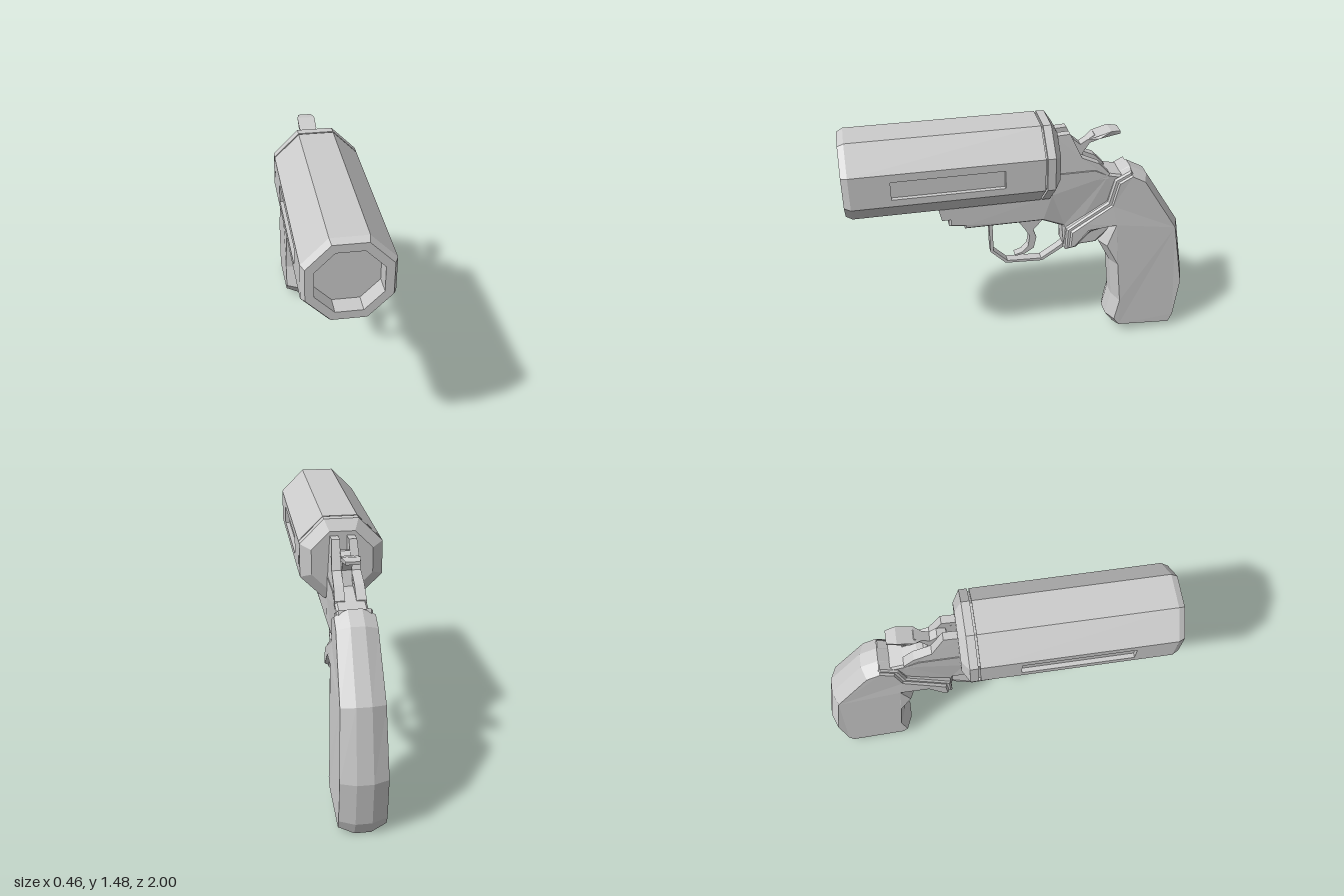
import * as THREE from 'three';

const mat = new THREE.MeshStandardMaterial({ color: 0xcccccc, flatShading: true });
const AXIS_Y = 1.245; // height of the barrel axis
const clamp01 = (t) => Math.min(1, Math.max(0, t));
const toPoints = (list) => list.map(([z, y]) => new THREE.Vector2(z, y));

// Side profile in (z, y), extruded symmetrically along x, with an optional chamfer.
function plate(profile, half, { bevel = 0, bevelX = bevel, hole } = {}) {
  const shape = new THREE.Shape(toPoints(profile));
  if (hole) shape.holes.push(new THREE.Path(toPoints(hole)));
  const depth = 2 * (half - bevelX);
  const geo = new THREE.ExtrudeGeometry(shape, {
    depth, bevelEnabled: bevel > 0, bevelSegments: 1,
    bevelSize: bevel, bevelOffset: -bevel, bevelThickness: bevelX,
  });
  return geo.translate(0, 0, -depth / 2).rotateY(-Math.PI / 2);
}

// Scales the width of a plate by a rule of height and depth.
function widen(geo, rule) {
  const p = geo.attributes.position;
  for (let i = 0; i < p.count; i++) p.setX(i, p.getX(i) * rule(p.getY(i), p.getZ(i)));
  geo.computeVertexNormals();
  return geo;
}

// Eight-sided turning around the barrel axis; profile is [apothem, z], back to front.
function octagon(profile, sides = 8, start = Math.PI / 8) {
  const pts = profile.map(([r, z]) => new THREE.Vector2(r / Math.cos(Math.PI / 8), z));
  const geo = new THREE.LatheGeometry(pts, sides, start, sides * Math.PI / 4);
  return geo.rotateX(Math.PI / 2).translate(0, AXIS_Y, 0);
}

const rect = (z0, z1, y0, y1) => [[z0, y0], [z1, y0], [z1, y1], [z0, y1]];

export function createModel() {
  const model = new THREE.Group();
  const add = (name, geo, parent = model) => {
    const mesh = new THREE.Mesh(geo, mat);
    mesh.name = name;
    parent.add(mesh);
    return mesh;
  };

  // Barrel: chamfered muzzle with a shallow bore, upper and lower walls, slotted sides
  const barrel = new THREE.Group();
  barrel.name = 'barrel';
  model.add(barrel);
  add('muzzle', octagon([[0.23, 0.965], [0.212, 1], [0.168, 1], [0.168, 0.9], [0, 0.9]]), barrel);
  add('barrelBack', octagon([[0, -0.08], [0.23, -0.08]]), barrel);
  const wall = [[0.23, -0.08], [0.23, 0.965]];
  add('barrelBottom', octagon(wall, 3, -Math.PI * 3 / 8), barrel);
  add('barrelTop', octagon(wall, 3, Math.PI * 5 / 8), barrel);
  const h = 0.23 * Math.tan(Math.PI / 8);
  for (const s of [1, -1]) {
    const side = plate(rect(-0.08, 0.965, AXIS_Y - h, AXIS_Y + h), 0.0125,
      { hole: rect(0.14, 0.75, 1.19, 1.295) });
    add('slottedSide', side.translate(s * 0.2175, 0, 0), barrel);
    const floor = new THREE.BoxGeometry(0.01, 0.125, 0.63);
    add('slotFloor', floor.translate(s * 0.2, 1.2425, 0.445), barrel);
  }

  // Breech block behind a thin gap
  add('breechCore', octagon([[0.215, -0.1], [0.215, -0.07]]));
  add('breech', octagon([[0, -0.175], [0.17, -0.175], [0.23, -0.135], [0.23, -0.09], [0, -0.09]]));

  // Frame, narrowing below the trigger line
  const frame = plate([
    [0.44, 1.04], [0.44, 0.89], [0.355, 0.88], [0.35, 0.86], [-0.1, 0.86], [-0.22, 0.8],
    [-0.235, 0.65], [-0.43, 0.66], [-0.57, 0.8], [-0.61, 1.1], [-0.48, 1.13],
    [-0.4, 1.17], [-0.14, 1.17], [-0.14, 1.04],
  ], 0.085, { bevel: 0.012 });
  add('frame', widen(frame, (y) => 1 - 0.3 * clamp01((0.88 - y) / 0.08)));
  add('frontLug', plate([[0.5, 1.03], [0.48, 0.94], [0.41, 0.94], [0.375, 1.03]], 0.09));

  // Frame ears on both sides of the hammer channel, leaning in toward the top
  for (const s of [1, -1]) {
    const ear = plate([
      [-0.16, 1.1], [-0.48, 1.1], [-0.48, 1.135], [-0.42, 1.2], [-0.32, 1.245],
      [-0.25, 1.395], [-0.16, 1.39],
    ], 0.0275).translate(s * 0.0575, 0, 0);
    add('frameEar', widen(ear, (y) => 1 - 0.2 * clamp01((y - 1.15) / 0.25)));
  }

  // Hammer with a wider thumb spur
  add('hammer', plate([
    [-0.22, 1.15], [-0.37, 1.15], [-0.335, 1.25], [-0.375, 1.31], [-0.425, 1.34],
    [-0.4, 1.355], [-0.32, 1.305], [-0.28, 1.34], [-0.23, 1.33],
  ], 0.027));
  const spur = plate([
    [-0.375, 1.31], [-0.425, 1.34], [-0.545, 1.355], [-0.545, 1.372], [-0.49, 1.378], [-0.4, 1.352], [-0.36, 1.33],
  ], 0.05);
  add('hammerSpur', widen(spur, (y, z) => (z > -0.4 ? 0.55 : z < -0.53 ? 0.75 : 1)));

  // Trigger guard: a bent band
  add('triggerGuard', plate([
    [0.235, 0.865], [0.205, 0.83], [0.2, 0.65], [0.11, 0.56], [-0.11, 0.548], [-0.25, 0.635],
    [-0.24, 0.665], [-0.225, 0.645], [-0.105, 0.565], [0.1, 0.575], [0.182, 0.655],
    [0.185, 0.83], [0.15, 0.865],
  ], 0.027));

  // Curved trigger
  add('trigger', plate([
    [0.04, 0.87], [0.035, 0.84], [0, 0.79], [-0.035, 0.73], [-0.025, 0.66], [0.01, 0.622], [0.055, 0.608],
    [0.05, 0.6], [-0.005, 0.61], [-0.06, 0.645], [-0.075, 0.72], [-0.055, 0.77], [-0.115, 0.84], [-0.115, 0.87],
  ], 0.025));

  // Grip: heavy chamfers, notched behind the guard, wider toward the butt
  const grip = plate([
    [-0.615, 1.145], [-0.715, 1.09], [-0.93, 0.75], [-1, 0.34], [-0.97, 0.08], [-0.935, 0.0],
    [-0.57, 0.03], [-0.52, 0.1], [-0.55, 0.25], [-0.525, 0.51], [-0.45, 0.655], [-0.5, 0.77],
    [-0.385, 0.75], [-0.305, 0.655], [-0.235, 0.64], [-0.24, 0.79], [-0.33, 0.85],
    [-0.48, 0.945], [-0.515, 1.09],
  ], 0.13, { bevel: 0.032, bevelX: 0.085 });
  add('grip', widen(grip, (y, z) => {
    const base = 1 - 0.17 * clamp01((y - 0.3) / 0.8);
    // The front edge over the frame keeps a fuller chamfer
    return base * (z > -0.53 && y > 0.6 ? 0.95 : 1);
  }));
  // Thick rim where the grip overlaps the frame
  add('gripRim', plate([
    [-0.235, 0.65], [-0.24, 0.79], [-0.33, 0.85], [-0.48, 0.945], [-0.515, 1.09], [-0.61, 1.14],
    [-0.64, 1.08], [-0.56, 0.9], [-0.5, 0.78], [-0.385, 0.755], [-0.3, 0.66],
  ], 0.095, { bevel: 0.01 }));

  return model;
}
